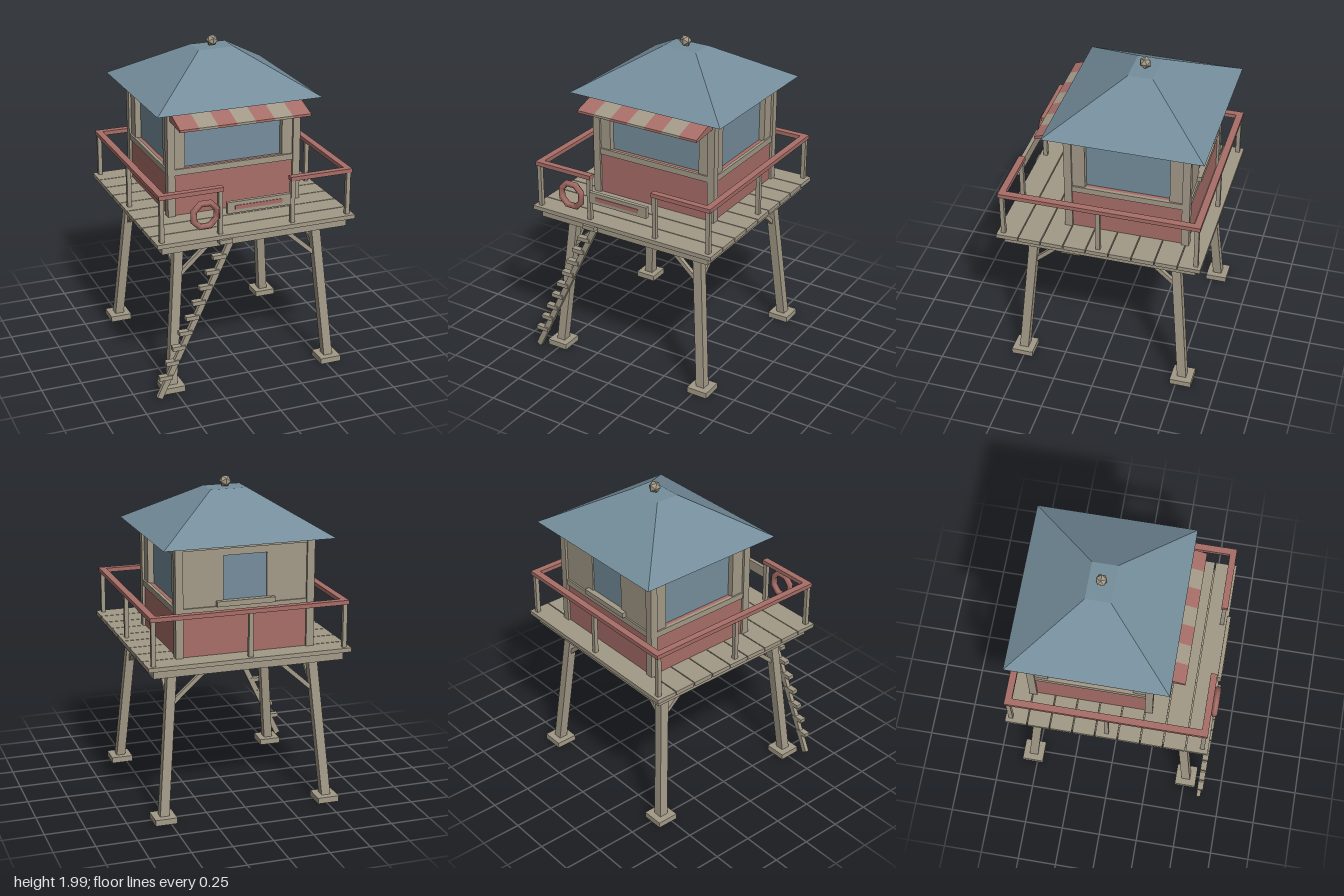
import * as THREE from 'three';

export function createModel() {
  const model = new THREE.Group();
  model.name = 'lookoutHut';
  const mat = (name, color) => {
    const m = new THREE.MeshStandardMaterial({ color });
    m.name = name;
    return m;
  };
  const wood = mat('weathered wood', 0xa39a88);
  const red = mat('faded red', 0xa86e68);
  const blue = mat('slate blue', 0x758e9c);

  const CX = 0.01, CZ = -0.01; // platform centre
  const add = (name, geo, material) => {
    const m = new THREE.Mesh(geo, material);
    m.name = name;
    model.add(m);
    return m;
  };
  // Box given by its limits on each axis
  const box = (name, material, x0, x1, y0, y1, z0, z1) => {
    const m = add(name, new THREE.BoxGeometry(x1 - x0, y1 - y0, z1 - z0), material);
    m.position.set((x0 + x1) / 2, (y0 + y1) / 2, (z0 + z1) / 2);
    return m;
  };
  // Square beam between two points
  const beam = (name, material, a, b, w, d = w) => {
    const p = new THREE.Vector3(...a), q = new THREE.Vector3(...b);
    const m = add(name, new THREE.BoxGeometry(w, p.distanceTo(q), d), material);
    m.position.copy(p).add(q).multiplyScalar(0.5);
    m.quaternion.setFromUnitVectors(new THREE.Vector3(0, 1, 0), q.sub(p).normalize());
    return m;
  };

  // Splayed legs with feet and two braces each
  for (const sx of [-1, 1]) for (const sz of [-1, 1]) {
    const at = (x, y, z) => [CX + sx * x, y, CZ + sz * z];
    const [fx, , fz] = at(0.52, 0, 0.52);
    box('foot', wood, fx - 0.068, fx + 0.068, 0.005, 0.042, fz - 0.068, fz + 0.068);
    beam('leg', wood, at(0.522, 0.01, 0.522), at(0.44, 0.95, 0.44), 0.056);
    beam('brace', wood, at(0.45, 0.715, 0.455), at(0.19, 0.95, 0.455), 0.026);
    beam('brace', wood, at(0.455, 0.715, 0.45), at(0.455, 0.95, 0.19), 0.026);
  }

  // Deck frame and planks
  box('deckFrame', wood, -0.58, 0.6, 0.93, 0.985, -0.6, 0.58);
  for (let i = 0; i < 9; i++) {
    const z = -0.64 + i * 0.14;
    box('plank', wood, -0.62, 0.64, 0.984, 1.01, z + 0.003, z + 0.137);
  }

  // Railing with an opening at the front
  const railY = [1.277, 1.303];
  box('sideRail', red, -0.602, -0.56, ...railY, -0.625, 0.6);
  box('sideRail', red, 0.58, 0.622, ...railY, -0.625, 0.6);
  box('backRail', red, -0.56, 0.58, ...railY, -0.625, -0.583);
  box('frontRail', red, -0.56, -0.203, ...railY, 0.56, 0.6);
  box('frontRail', red, 0.223, 0.58, ...railY, 0.56, 0.6);
  const posts = [[-0.582, 0.58], [0.602, 0.58], [-0.582, -0.604], [0.602, -0.604],
    [-0.22, 0.58], [0.24, 0.58], [CX, -0.604], [-0.582, CZ], [0.602, CZ]];
  for (const [x, z] of posts) {
    box('railPost', wood, x - 0.013, x + 0.013, 1.005, 1.28, z - 0.013, z + 0.013);
  }

  // Hut body: core, red lower walls, corner posts, top plate
  const X0 = -0.42, X1 = 0.44, Z0 = -0.52, Z1 = 0.245;
  box('core', wood, X0 + 0.06, X1 - 0.06, 1.01, 1.68, Z0 + 0.06, Z1 - 0.06);
  box('lowerWall', red, X0 + 0.015, X1 - 0.015, 1.008, 1.302, Z0 + 0.015, Z1 - 0.015);
  box('topPlate', wood, X0 + 0.004, X1 - 0.004, 1.648, 1.685, Z0 + 0.004, Z1 - 0.004);
  for (const x of [X0, X1 - 0.047]) for (const z of [Z0, Z1 - 0.047]) {
    box('cornerPost', wood, x, x + 0.047, 1.008, 1.684, z, z + 0.047);
  }
  // Trim band above the lower walls
  for (const x of [X0 + 0.005, X1 - 0.025]) {
    box('trim', wood, x, x + 0.02, 1.268, 1.306, Z0 + 0.04, Z1 - 0.04);
  }
  for (const z of [Z0 + 0.005, Z1 - 0.025]) {
    box('trim', wood, X0 + 0.04, X1 - 0.04, 1.268, 1.306, z, z + 0.02);
  }

  // Front window with piers and header
  box('frontGlass', blue, -0.31, 0.33, 1.3, 1.615, Z1 - 0.06, Z1 - 0.052);
  box('frontPier', wood, -0.38, -0.305, 1.3, 1.65, Z1 - 0.062, Z1 - 0.015);
  box('frontPier', wood, 0.325, 0.4, 1.3, 1.65, Z1 - 0.062, Z1 - 0.015);
  box('frontHeader', wood, -0.31, 0.33, 1.61, 1.65, Z1 - 0.062, Z1 - 0.015);

  // Side windows
  for (const s of [-1, 1]) {
    const span = (inner, outer) => {
      const a = CX + s * inner, b = CX + s * outer;
      return [Math.min(a, b), Math.max(a, b)];
    };
    const wall = span(0.368, 0.415);
    box('sideGlass', blue, ...span(0.37, 0.378), 1.3, 1.615, -0.4, 0.125);
    box('sidePier', wood, ...wall, 1.3, 1.65, 0.12, 0.2);
    box('sidePier', wood, ...wall, 1.3, 1.65, -0.475, -0.395);
    box('sideHeader', wood, ...wall, 1.61, 1.65, -0.4, 0.125);
  }

  // Back wall with a small window and sill
  const backZ = [Z0 + 0.015, Z0 + 0.062];
  box('backPanel', wood, -0.38, -0.125, 1.3, 1.65, ...backZ);
  box('backPanel', wood, 0.145, 0.4, 1.3, 1.65, ...backZ);
  box('backHeader', wood, -0.125, 0.145, 1.605, 1.65, ...backZ);
  box('backGlass', blue, -0.126, 0.146, 1.3, 1.606, Z0 + 0.024, Z0 + 0.032);
  box('backSill', wood, -0.17, 0.19, 1.306, 1.338, Z0 - 0.012, Z0 + 0.03);

  // Hipped roof: box tapered to a small flat top
  const roof = new THREE.BoxGeometry(1, 1, 1);
  const p = roof.attributes.position;
  for (let i = 0; i < p.count; i++) {
    const top = p.getY(i) > 0;
    p.setXYZ(i, CX + p.getX(i) * (top ? 0.23 : 1.05), top ? 1.933 : 1.683,
      -0.1335 + p.getZ(i) * (top ? 0.15 : 0.965));
  }
  roof.computeVertexNormals();
  add('roof', roof, blue);
  add('finial', new THREE.IcosahedronGeometry(0.037, 0), wood).position.set(CX, 1.965, -0.133);

  // Striped awning wedge, one extrusion per stripe
  const profile = new THREE.Shape([[0.235, 1.618], [0.425, 1.602], [0.425, 1.617], [0.235, 1.677]]
    .map(([z, y]) => new THREE.Vector2(-z, y)));
  const stripe = 0.83 / 7;
  for (let i = 0; i < 7; i++) {
    const g = new THREE.ExtrudeGeometry(profile, { depth: stripe, bevelEnabled: false });
    const m = add('awningStripe', g, i % 2 ? wood : red);
    m.rotation.y = Math.PI / 2;
    m.position.x = -0.405 + i * stripe;
  }

  // Sign board across the opening
  box('signBoard', wood, -0.193, 0.21, 1.145, 1.215, 0.603, 0.627);
  box('signStripe', red, -0.145, 0.155, 1.167, 1.192, 0.626, 0.631);

  // Life ring on the front railing
  const ring = add('lifeRing', new THREE.TorusGeometry(0.077, 0.021, 5, 8), red);
  ring.position.set(-0.327, 1.157, 0.617);
  ring.rotation.z = Math.PI / 8;

  // Slanted ladder with block rungs
  beam('ladderStringer', wood, [-0.622, 0.015, 0.611], [-0.17, 0.96, 0.611], 0.036, 0.026);
  for (let i = 0; i < 10; i++) {
    const x = -0.583 + i * 0.0425, y = 0.148 + i * 0.0917;
    box('rung', wood, x - 0.041, x + 0.041, y - 0.013, y + 0.013, 0.595, 0.634);
  }
  return model;
}
